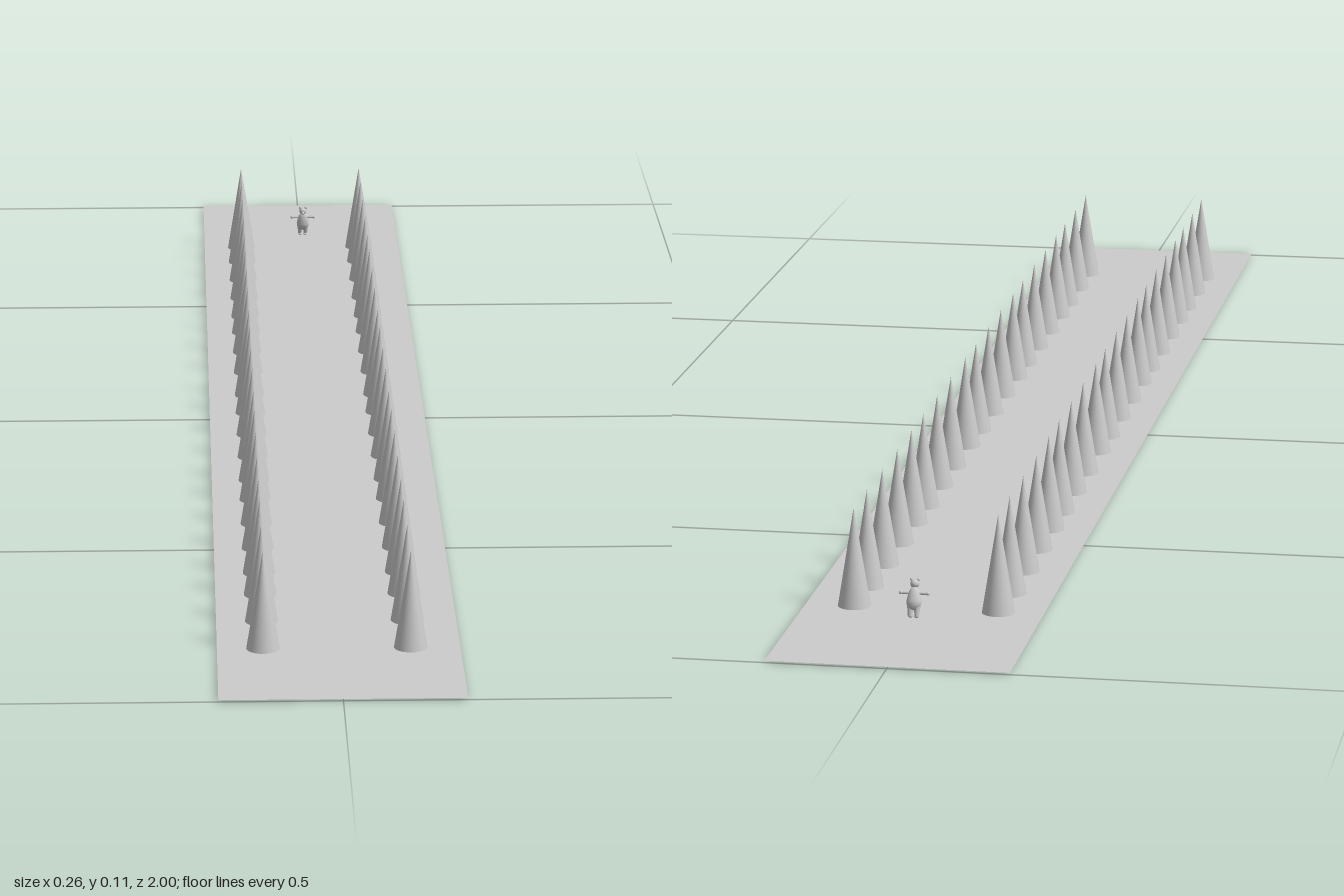
import * as THREE from 'three';

const material = new THREE.MeshStandardMaterial({ color: 0xcccccc });
const doubleSided = new THREE.MeshStandardMaterial({ color: 0xcccccc, side: THREE.DoubleSide });

function add(parent, name, geometry, x, y, z, mat = material) {
  const mesh = new THREE.Mesh(geometry, mat);
  mesh.name = name;
  mesh.position.set(x, y, z);
  parent.add(mesh);
  return mesh;
}

// Ellipsoid with the given half sizes
const blob = (rx, ry, rz) => new THREE.SphereGeometry(1, 20, 14).scale(rx, ry, rz);

// Small bear with outstretched arms, feet at its origin
function createBear() {
  const bear = new THREE.Group();
  bear.name = 'bear';

  // Pear-shaped body, slightly flattened front to back
  const profile = [[0, 0.008], [0.005, 0.009], [0.008, 0.014], [0.0083, 0.018],
    [0.007, 0.024], [0.0055, 0.029], [0.003, 0.033], [0, 0.034]]
    .map(([r, y]) => new THREE.Vector2(r, y));
  add(bear, 'body', new THREE.LatheGeometry(profile, 20).scale(1, 1, 0.75), 0, 0, 0);

  // Head and muzzle
  add(bear, 'head', blob(0.005, 0.0048, 0.0046), 0, 0.037, 0.001);
  add(bear, 'muzzle', blob(0.0022, 0.0018, 0.0025), 0, 0.0358, 0.005);

  // Paired parts
  for (const side of [-1, 1]) {
    const label = side > 0 ? 'left' : 'right';
    add(bear, label + 'Ear', blob(0.0017, 0.0018, 0.001), side * 0.0038, 0.0415, 0.0005);
    const arm = add(bear, label + 'Arm', new THREE.CapsuleGeometry(0.0016, 0.01, 4, 10), side * 0.0085, 0.0268, 0);
    arm.rotation.z = Math.PI / 2;
    add(bear, label + 'Paw', blob(0.0022, 0.002, 0.002), side * 0.0148, 0.0268, 0);
    add(bear, label + 'Leg', new THREE.CylinderGeometry(0.0036, 0.0024, 0.011, 12), side * 0.0037, 0.0068, 0);
    add(bear, label + 'Foot', blob(0.0025, 0.0018, 0.0034), side * 0.0033, 0.0016, 0.001);
  }
  return bear;
}

export function createModel() {
  const model = new THREE.Group();
  model.name = 'coneTrack';

  // Flat strip of ground, just above the cone bases
  add(model, 'track', new THREE.PlaneGeometry(0.264, 2).rotateX(-Math.PI / 2), 0, 0.002, 0, doubleSided);

  // Two rows of cones in five groups of four
  const height = 0.113;
  const cone = new THREE.ConeGeometry(0.0185, height, 32);
  for (const start of [-0.783, -0.445, -0.095, 0.248, 0.587]) {
    for (const offset of [0, 0.074, 0.163, 0.252]) {
      for (const x of [-0.082, 0.078]) {
        add(model, x > 0 ? 'leftCone' : 'rightCone', cone, x, height / 2, start + offset);
      }
    }
  }

  // Bear at the far end, leaning forward
  const bear = createBear();
  bear.position.set(0.003, 0.0065, -0.833);
  bear.rotation.x = 0.25;
  model.add(bear);

  return model;
}
